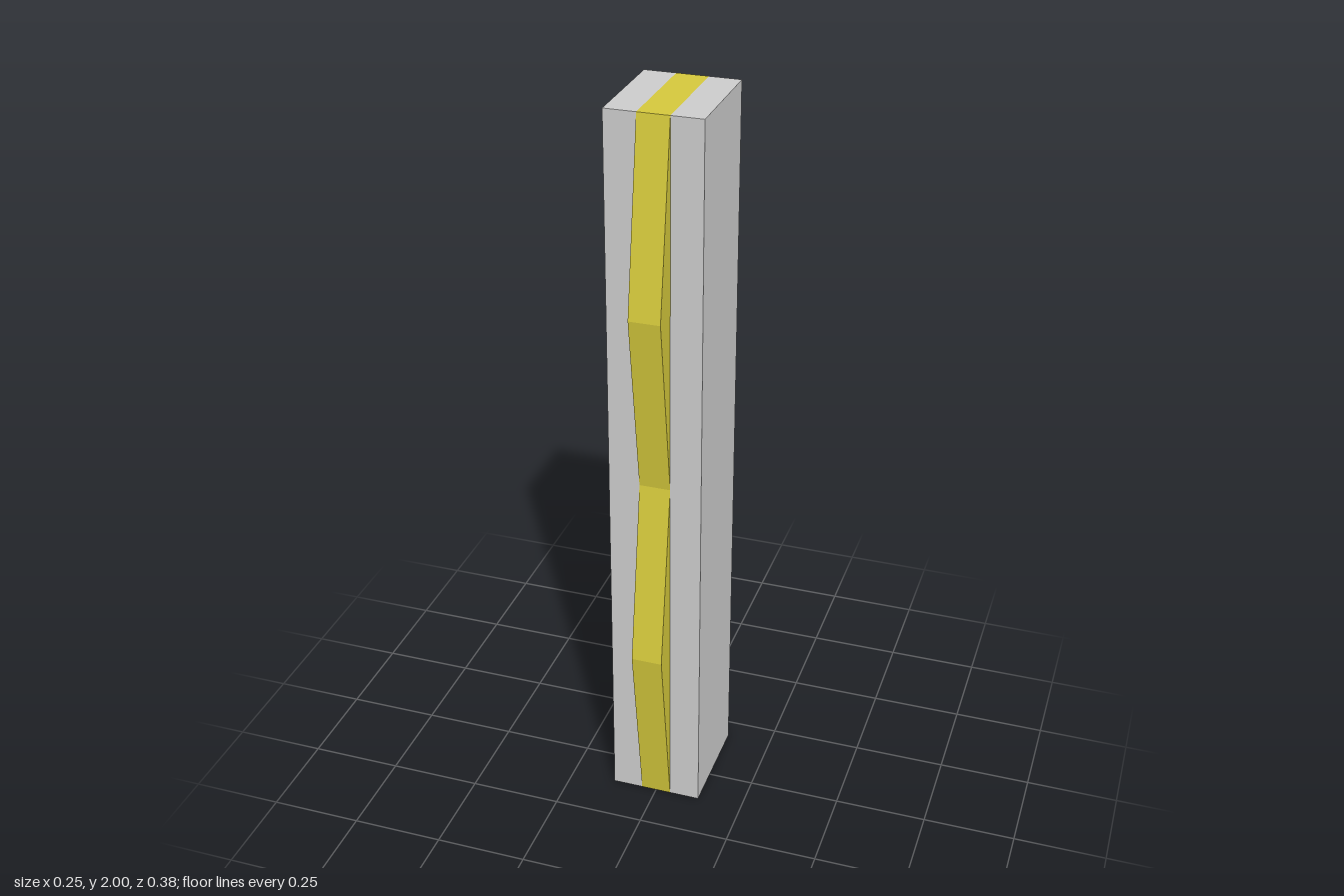
import * as THREE from 'three';

const HEIGHT = 2;
const BACK = -0.1875;   // z of the back face
const FRONT = 0.1125;   // z of the flat front face
const PEAK = 0.1875;    // z of the ridge tips
const HALF_WIDTH = 0.125;
const CORE_WIDTH = 0.25 / 3;

export function createModel() {
  const group = new THREE.Group();
  group.name = 'post';
  const grey = new THREE.MeshStandardMaterial({ color: 0xcccccc, flatShading: true });
  const yellow = new THREE.MeshStandardMaterial({ color: 0xd4c83c, flatShading: true });

  // Grey slabs on either side of the core
  const slabWidth = HALF_WIDTH - CORE_WIDTH / 2;
  for (const [name, side] of [['leftSlab', 1], ['rightSlab', -1]]) {
    const slab = new THREE.Mesh(new THREE.BoxGeometry(slabWidth, HEIGHT, FRONT - BACK), grey);
    slab.name = name;
    slab.position.set(side * (HALF_WIDTH - slabWidth / 2), HEIGHT / 2, (FRONT + BACK) / 2);
    group.add(slab);
  }

  // Yellow core: side profile with two pointed ridges on the front
  const profile = new THREE.Shape([
    [BACK, 0], [FRONT, 0], [PEAK, 0.5], [FRONT, 1], [PEAK, 1.5], [FRONT, HEIGHT], [BACK, HEIGHT],
  ].map(([z, y]) => new THREE.Vector2(z, y)));
  const coreGeometry = new THREE.ExtrudeGeometry(profile, { depth: CORE_WIDTH, bevelEnabled: false });
  coreGeometry.translate(0, 0, -CORE_WIDTH / 2).rotateY(-Math.PI / 2);
  const core = new THREE.Mesh(coreGeometry, yellow);
  core.name = 'ridgedCore';
  group.add(core);

  return group;
}
